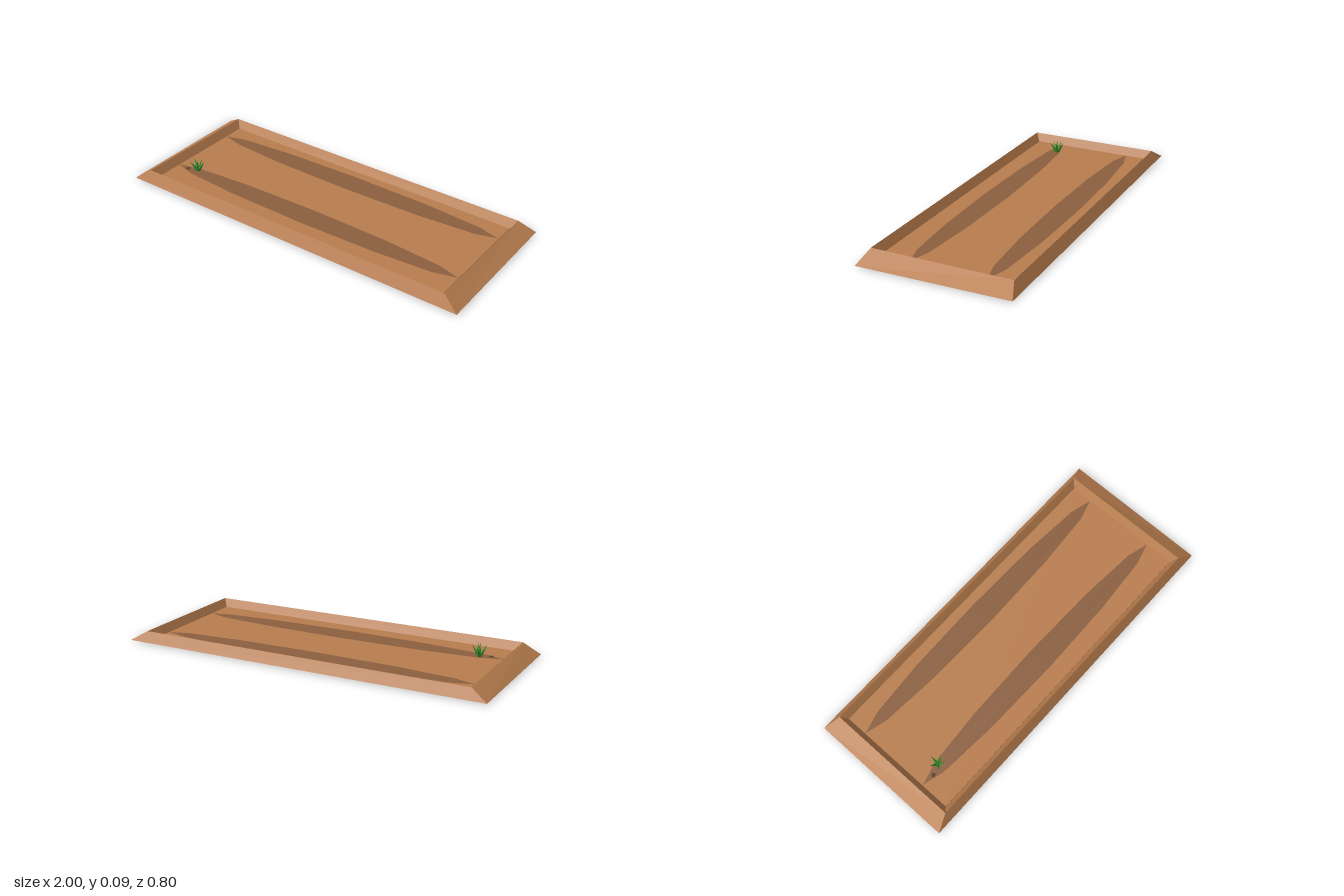
import * as THREE from 'three';

const mat = (name, color, extra = {}) => {
  const m = new THREE.MeshStandardMaterial({ color, ...extra });
  m.name = name;
  return m;
};

export function createModel() {
  const wood = mat('wood', 0xb87d4e);
  const stain = mat('dark soil', 0x8b5f3f);
  const green = mat('leaf green', 0x3a8f2e);
  const steel = mat('blue grey metal', 0x8299a6);
  const pebbleBrown = mat('pebble brown', 0x5a4636);
  const model = new THREE.Group();
  model.name = 'shallowPlanterTray';

  const add = (parent, name, geometry, material, x = 0, y = 0, z = 0) => {
    const mesh = new THREE.Mesh(geometry, material);
    mesh.name = name;
    mesh.position.set(x, y, z);
    parent.add(mesh);
    return mesh;
  };

  // Cross-section of the sloped rim: outer foot, ridge, inner foot, hollow underside
  const section = [
    [1.0, 0.40, 0.005],
    [0.912, 0.366, 0.062],
    [0.883, 0.337, 0.016],
    [0.93, 0.376, 0.03],
  ];
  // The rim rises slightly towards the front
  const corner = (sx, sz) => section.map(([x, z, y], i) =>
    [sx * x, y + (i ? 0.011 * sz * z : 0), sz * z]);

  // One mitred board between two corners of the tray
  const board = (name, a, b) => {
    const pos = [];
    for (let i = 0; i < 4; i++) {
      const j = (i + 1) % 4;
      pos.push(...a[i], ...b[i], ...b[j], ...a[i], ...b[j], ...a[j]);
    }
    const g = new THREE.BufferGeometry();
    g.setAttribute('position', new THREE.Float32BufferAttribute(pos, 3));
    g.computeVertexNormals();
    add(model, name, g, wood);
  };
  const corners = [corner(-1, 1), corner(1, 1), corner(1, -1), corner(-1, -1)];
  ['frontBoard', 'leftBoard', 'backBoard', 'rightBoard'].forEach((name, i) =>
    board(name, corners[i], corners[(i + 1) % 4]));

  // Slightly tilted floor
  const floor = new THREE.Group();
  floor.name = 'floor';
  floor.position.y = 0.0115;
  floor.rotation.x = -0.011;
  model.add(floor);
  add(floor, 'floorPanel', new THREE.BoxGeometry(1.766, 0.0155, 0.674), wood);

  // Two long furrows with a row of studs beneath each
  for (const z of [-0.22, 0.18]) {
    const furrow = new THREE.CircleGeometry(1, 12);
    furrow.rotateX(-Math.PI / 2);
    furrow.scale(0.88, 1, 0.066);
    add(floor, 'furrow', furrow, stain, 0, 0.0095, z);
    for (let i = -4; i <= 4; i++) {
      add(floor, 'stud', new THREE.CylinderGeometry(0.018, 0.018, 0.002, 6), steel, i * 0.197, -0.0078, z);
    }
  }

  // Grass tuft: a centre blade and leaning blades around it
  const tuft = new THREE.Group();
  tuft.name = 'grassTuft';
  tuft.position.set(-0.755, 0.02, 0.165);
  model.add(tuft);
  const blade = (angle, lean, height) => {
    const g = new THREE.ConeGeometry(0.011, height, 4).toNonIndexed();
    g.translate(0, height / 2, 0);
    g.computeVertexNormals();
    const m = add(tuft, 'blade', g, green);
    m.rotation.set(0, angle, -lean);
  };
  blade(0, 0, 0.075);
  for (let i = 0; i < 5; i++) blade(0.3 + i * Math.PI * 0.4, 0.56, 0.077);

  // Small pebble beside the tuft
  const pebble = new THREE.IcosahedronGeometry(0.012, 0);
  pebble.scale(1, 0.6, 1);
  add(model, 'pebble', pebble, pebbleBrown, -0.81, 0.025, 0.185);

  return model;
}
